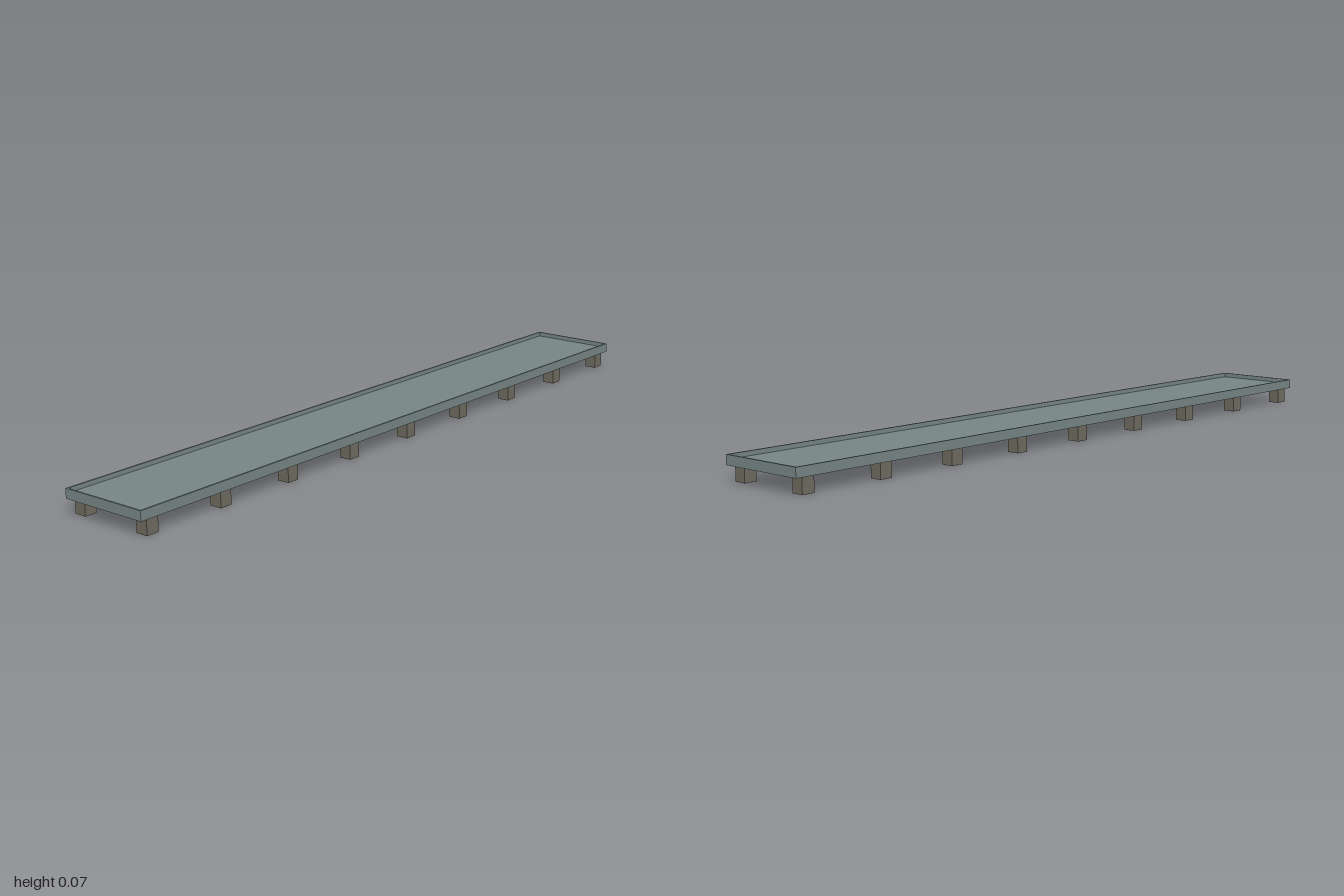
import * as THREE from 'three';

const LENGTH = 2, DEPTH = 0.252;
const RIM_BOTTOM = 0.042, RIM_TOP = 0.068, RIM_WALL = 0.005;
const PANEL_BOTTOM = 0.052, PANEL_TOP = 0.056;

// Rectangle outline centred on the origin
function rectangle(PathType, w, h) {
  const path = new PathType();
  path.moveTo(-w / 2, -h / 2);
  path.lineTo(w / 2, -h / 2);
  path.lineTo(w / 2, h / 2);
  path.lineTo(-w / 2, h / 2);
  path.closePath();
  return path;
}

export function createModel() {
  const model = new THREE.Group();
  model.name = 'platform';

  const slate = new THREE.MeshStandardMaterial({ color: 0x768585 });
  slate.name = 'slate grey';
  const stone = new THREE.MeshStandardMaterial({ color: 0x6e6a5f });
  stone.name = 'stone brown';

  // Thin raised frame, open above and below the panel
  const outline = rectangle(THREE.Shape, LENGTH, DEPTH);
  outline.holes.push(rectangle(THREE.Path, LENGTH - 2 * RIM_WALL, DEPTH - 2 * RIM_WALL));
  const rimGeometry = new THREE.ExtrudeGeometry(outline, {
    depth: RIM_TOP - RIM_BOTTOM,
    bevelEnabled: false,
  });
  rimGeometry.rotateX(-Math.PI / 2);
  const rim = new THREE.Mesh(rimGeometry, slate);
  rim.name = 'rim';
  rim.position.y = RIM_BOTTOM;
  model.add(rim);

  // Recessed deck panel
  const panel = new THREE.Mesh(
    new THREE.BoxGeometry(LENGTH - 2 * RIM_WALL, PANEL_TOP - PANEL_BOTTOM, DEPTH - 2 * RIM_WALL),
    slate
  );
  panel.name = 'deckPanel';
  panel.position.y = (PANEL_BOTTOM + PANEL_TOP) / 2;
  model.add(panel);

  // Two rows of nine support blocks
  const blockGeometry = new THREE.BoxGeometry(0.036, PANEL_BOTTOM, 0.034);
  const supports = new THREE.Group();
  supports.name = 'supports';
  for (const side of [-1, 1]) {
    for (let i = -4; i <= 4; i++) {
      const block = new THREE.Mesh(blockGeometry, stone);
      block.name = side > 0 ? 'frontSupport' : 'backSupport';
      block.position.set(i * 0.24, PANEL_BOTTOM / 2, side * 0.1035);
      supports.add(block);
    }
  }
  model.add(supports);

  return model;
}
